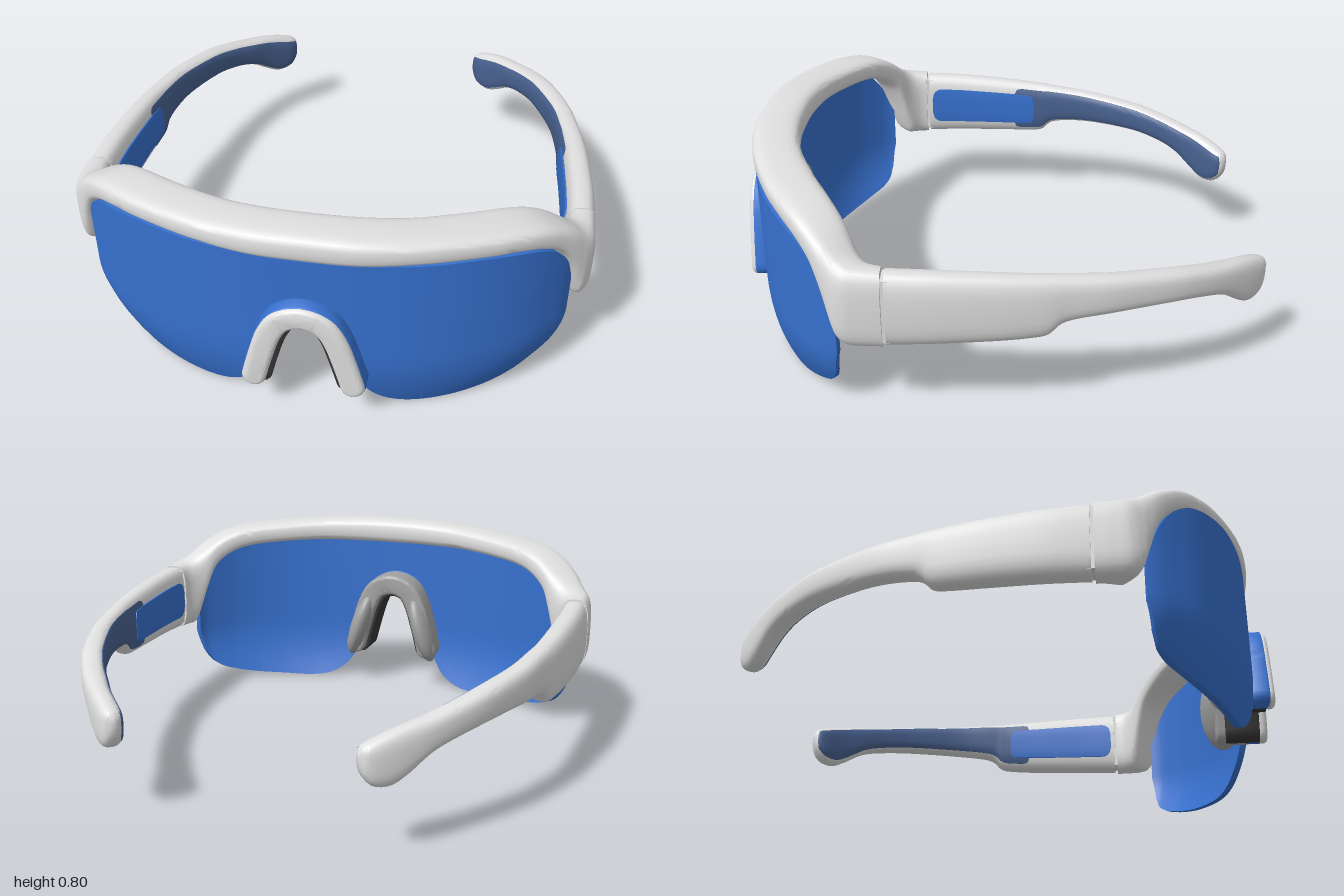
import * as THREE from 'three';
import { toCreasedNormals } from 'three/addons/utils/BufferGeometryUtils.js';

const material = (name, color) => {
  const m = new THREE.MeshStandardMaterial({ color });
  m.name = name;
  return m;
};
const V = (x, y, z) => new THREE.Vector3(x, y, z);

// Smooth interpolation of every column of a table, t in 0..1
function rowAt(table, t) {
  const last = table.length - 1;
  const p = Math.min(Math.max(t, 0), 1) * last;
  const i = Math.min(Math.floor(p), last - 1), f = p - i;
  const [a, b, c, d] = [Math.max(i - 1, 0), i, i + 1, Math.min(i + 2, last)].map((k) => table[k]);
  return b.map((_, k) => {
    const m0 = (c[k] - a[k]) / 2, m1 = (d[k] - b[k]) / 2;
    return b[k] + f * m0 + f * f * (3 * (c[k] - b[k]) - 2 * m0 - m1) + f * f * f * (2 * (b[k] - c[k]) + m0 + m1);
  });
}

// Skin closed rings into a capped solid, facing outward whichever way the rings run
function loft(rings, crease = 0.9) {
  const n = rings[0].length, pos = [], tris = [];
  rings.forEach((ring) => ring.forEach((p) => pos.push(p)));
  for (let i = 0; i < rings.length - 1; i++) {
    for (let j = 0; j < n; j++) {
      const a = i * n + j, b = i * n + (j + 1) % n;
      tris.push([a, b, a + n], [b, b + n, a + n]);
    }
  }
  [0, rings.length - 1].forEach((r, end) => {
    const c = pos.length, mid = V(0, 0, 0);
    rings[r].forEach((p) => mid.addScaledVector(p, 1 / n));
    pos.push(mid);
    for (let j = 0; j < n; j++) {
      const a = r * n + j, b = r * n + (j + 1) % n;
      tris.push(end ? [a, b, c] : [b, a, c]);
    }
  });
  const cross = V(0, 0, 0);
  const volume = tris.reduce((s, [a, b, c]) => s + cross.crossVectors(pos[a], pos[b]).dot(pos[c]), 0);
  const index = tris.flatMap(([a, b, c]) => (volume > 0 ? [a, b, c] : [a, c, b]));
  const g = new THREE.BufferGeometry().setFromPoints(pos);
  g.setIndex(index);
  return toCreasedNormals(g, crease);
}

// Upright rounded section between an outer and an inner plan point
function section(ox, oz, ix, iz, top, bottom, power) {
  const ring = [], q = (v) => Math.sign(v) * Math.pow(Math.abs(v), 2 / power);
  for (let j = 0; j < 28; j++) {
    const a = (j / 28) * Math.PI * 2, u = q(Math.cos(a)) / 2, v = q(Math.sin(a)) / 2;
    ring.push(V((ox + ix) / 2 + u * (ox - ix), (top + bottom) / 2 + v * (top - bottom), (oz + iz) / 2 + u * (oz - iz)));
  }
  return ring;
}

// Frame: outer x, z, inner x, z, top, bottom
const FRAME = [
  [0, .945, 0, .77, .80, .69], [.2, .937, .16, .762, .797, .69], [.4, .89, .33, .727, .787, .69],
  [.6, .808, .51, .65, .772, .68], [.72, .738, .63, .585, .757, .665], [.80, .678, .70, .54, .735, .635],
  [.86, .625, .755, .50, .70, .58], [.90, .588, .785, .475, .67, .49], [.925, .562, .81, .455, .645, .39],
  [.945, .54, .83, .435, .625, .32], [.966, .50, .845, .415, .61, .31], [.97, .44, .855, .395, .604, .31],
  [.97, .372, .86, .372, .60, .31],
];
// Lens: x, z, top, bottom
const LENS = [
  [0, .933, .70, .49], [.08, .932, .70, .445], [.14, .929, .70, .28], [.2, .923, .70, .13],
  [.26, .914, .70, .05], [.34, .90, .70, .01], [.44, .875, .70, 0], [.56, .832, .70, .008],
  [.68, .77, .686, .022], [.77, .705, .662, .042], [.83, .645, .615, .065], [.87, .597, .545, .10],
  [.888, .565, .47, .15], [.897, .54, .42, .25],
];
// Temple arm: centre x, z, half thickness, top, bottom
const ARM = [
  [.915, .36, .055, .595, .315], [.913, .2, .055, .59, .32], [.90, 0, .053, .577, .325],
  [.887, -.12, .05, .567, .33], [.878, -.18, .048, .562, .34], [.866, -.24, .045, .556, .385],
  [.83, -.4, .044, .54, .40], [.75, -.6, .045, .515, .395], [.68, -.72, .044, .49, .375],
  [.62, -.80, .044, .47, .345], [.565, -.865, .042, .455, .29], [.52, -.91, .042, .44, .258],
  [.475, -.95, .04, .42, .265], [.45, -.972, .03, .405, .30], [.44, -.982, .012, .385, .335],
];
const mirrored = (table, flip) => [
  ...table.slice(1).reverse().map((r) => r.map((v, k) => (flip.includes(k) ? -v : v))), ...table];

function frameGeometry() {
  const table = mirrored(FRAME, [0, 2]);
  return loft(Array.from({ length: 121 }, (_, i) => section(...rowAt(table, i / 120), 3.4)));
}

function lensGeometry() {
  const table = mirrored(LENS, [0]), rings = [], rows = 18;
  for (let i = 0; i <= 130; i++) {
    const t = i / 130, [x, z, top, bottom] = rowAt(table, t);
    const a = rowAt(table, t - .004), b = rowAt(table, t + .004);
    const nrm = V(-(b[1] - a[1]), 0, b[0] - a[0]).normalize();
    // The lower edge curls inward, more so towards the sides
    const curl = .05 + .07 * Math.pow(Math.abs(x) / .9, 4);
    const at = (k, depth) => {
      const y = bottom + (top - bottom) * k / rows;
      return V(x, y, z).addScaledVector(nrm, -depth - curl * Math.pow(Math.max(0, .27 - y) / .27, 2));
    };
    const ring = [];
    for (let k = 0; k <= rows; k++) ring.push(at(k, 0));
    for (let k = rows; k >= 0; k--) ring.push(at(k, .025));
    rings.push(ring);
  }
  return loft(rings);
}

const ARM_POWER = 3;
function armAt(t) {
  const [x, z, half, top, bottom] = rowAt(ARM, t);
  const a = rowAt(ARM, t - .01), b = rowAt(ARM, t + .01);
  return { x, z, half, top, bottom, n: V(-(b[1] - a[1]), 0, b[0] - a[0]).normalize() };
}
function armGeometry(side) {
  return loft(Array.from({ length: 91 }, (_, i) => {
    const { x, z, half, top, bottom, n } = armAt(i / 90);
    return section(side * (x + n.x * half), z + n.z * half, side * (x - n.x * half), z - n.z * half, top, bottom, ARM_POWER);
  }));
}
// Thin plate with rounded ends that follows the inner face of an arm
function armPlate(side, t0, t1, height, round, proud) {
  const rings = [];
  for (let i = 0; i <= 60; i++) {
    const e = i / 60, { x, z, half, top, bottom, n } = armAt(t0 + (t1 - t0) * e);
    const edge = Math.min(1, Math.min(e, 1 - e) / round);
    const h = height * (.4 + .6 * Math.sqrt(1 - (1 - edge) ** 2));
    const at = (k, lift) => {
      const f = h * (k / 6 - 1);
      const d = half * Math.pow(1 - Math.abs(f) ** ARM_POWER, 1 / ARM_POWER) + lift;
      return V(side * (x - n.x * d), (top + bottom) / 2 + f * (top - bottom) / 2, z - n.z * d);
    };
    const ring = [];
    for (let k = 0; k <= 12; k++) ring.push(at(k, proud));
    for (let k = 12; k >= 0; k--) ring.push(at(k, -.003));
    rings.push(ring);
  }
  return loft(rings);
}

// Arch-shaped band between two offsets from the nose line, extruded along z
function archGeometry(inner, outer, z0, z1, bevel) {
  const half = [[-.175, .185], [-.148, .29], [-.115, .395], [-.072, .462]];
  const pts = [...half, [0, .487], ...half.map(([x, y]) => [-x, y]).reverse()];
  const curve = new THREE.SplineCurve(pts.map((p) => new THREE.Vector2(...p)));
  const offset = (t, d) => {
    const p = curve.getPoint(t), g = curve.getTangent(t);
    return new THREE.Vector2(p.x - g.y * d, p.y + g.x * d);
  };
  const outline = [], mid = (inner + outer) / 2, r = (outer - inner) / 2 - bevel;
  for (let i = 0; i <= 40; i++) outline.push(offset(i / 40, mid + r));
  const cap = (t, sign) => {
    const c = offset(t, mid), g = curve.getTangent(t);
    for (let k = 1; k < 8; k++) {
      const a = Math.PI * k / 8, u = Math.cos(a) * r * sign, v = Math.sin(a) * r * sign;
      outline.push(new THREE.Vector2(c.x - g.y * u + g.x * v, c.y + g.x * u + g.y * v));
    }
  };
  cap(1, 1);
  for (let i = 40; i >= 0; i--) outline.push(offset(i / 40, mid - r));
  cap(0, -1);
  const g = new THREE.ExtrudeGeometry(new THREE.Shape(outline), {
    depth: z1 - z0 - 2 * bevel, bevelEnabled: true, bevelSize: bevel, bevelThickness: bevel, bevelSegments: 4,
  });
  g.translate(0, 0, z0 + bevel);
  return toCreasedNormals(g, 0.7);
}

export function createModel() {
  const group = new THREE.Group();
  const grey = material('light grey', 0xe0e0e0);
  const padGrey = material('pad grey', 0xa2a2a2);
  const blue = material('lens blue', 0x3771cf);
  const slate = material('lining blue', 0x48618f);
  const dark = material('dark rubber', 0x363636);
  const add = (name, geometry, mat) => {
    const mesh = new THREE.Mesh(geometry, mat);
    mesh.name = name;
    group.add(mesh);
    return mesh;
  };

  add('browFrame', frameGeometry(), grey);
  add('lens', lensGeometry(), blue);

  // Nose bridge: front arch, blue backing, rubber liner, rear arch
  add('noseArchFront', archGeometry(-.042, .045, .955, .998, .02), grey);
  add('noseArchBacking', archGeometry(-.038, .048, .90, .98, .006), blue);
  add('noseLiner', archGeometry(-.06, .02, .83, .965, .006), dark);
  add('noseArchRear', archGeometry(-.045, .045, .79, .92, .015), padGrey);

  [['left', 1], ['right', -1]].forEach(([name, side]) => {
    add(name + 'Temple', armGeometry(side), grey);
    add(name + 'TemplePanel', armPlate(side, .011, .235, .58, .1, .006), blue);
    add(name + 'TempleLining', armPlate(side, .16, .95, .8, .03, .003), slate);

    const hinge = add(name + 'Hinge', new THREE.BoxGeometry(.08, .24, .04), grey);
    hinge.position.set(side * .915, .455, .366);

    const pad = add(name + 'NosePad', new THREE.SphereGeometry(1, 28, 20), padGrey);
    pad.scale.set(.046, .16, .085);
    pad.position.set(side * .152, .28, .822);
    pad.rotation.z = side * .3;
  });
  return group;
}
